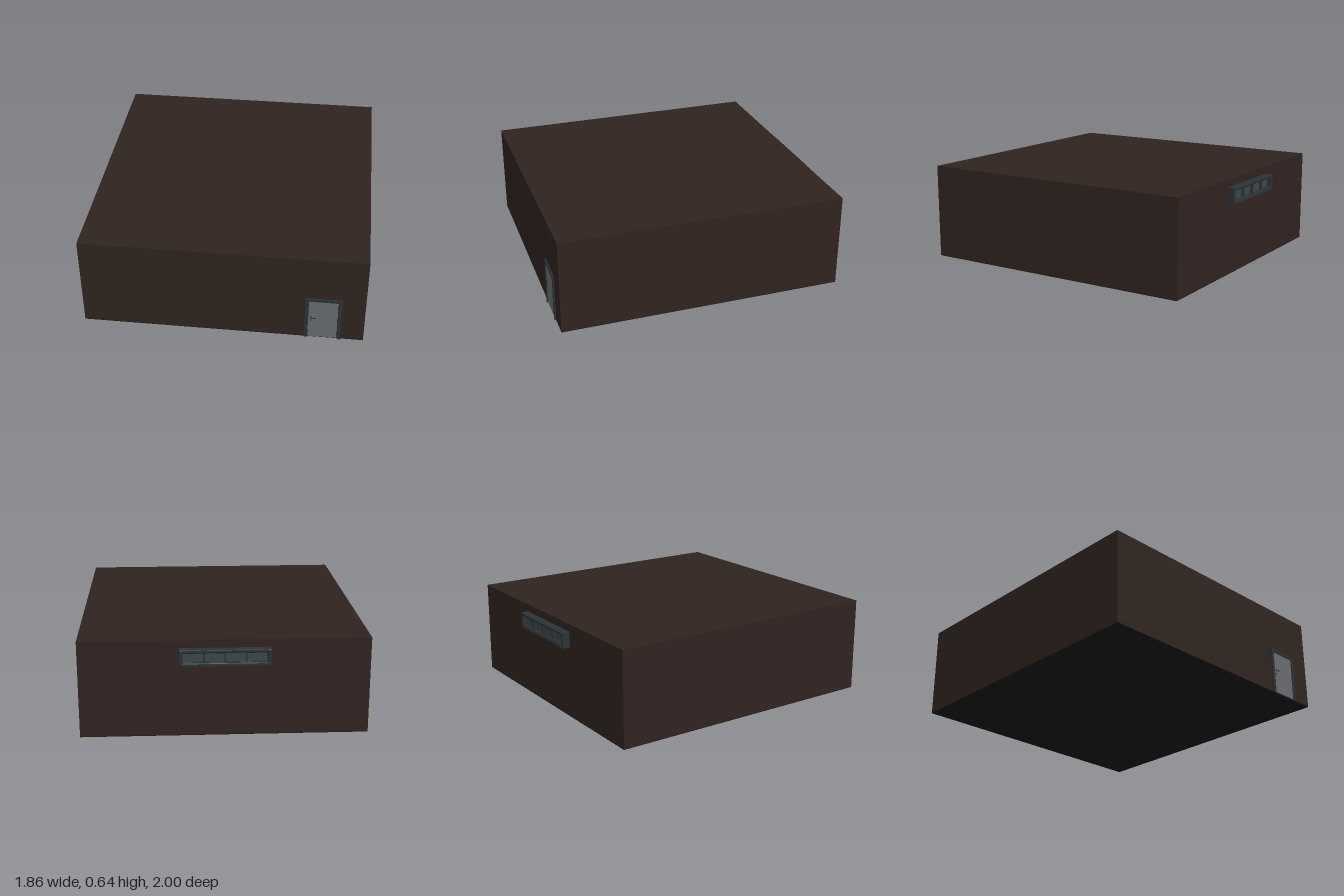
import * as THREE from 'three';

const mat = (color) => new THREE.MeshStandardMaterial({ color });

function add(parent, name, geometry, material, x = 0, y = 0, z = 0) {
  const mesh = new THREE.Mesh(geometry, material);
  mesh.name = name;
  mesh.position.set(x, y, z);
  parent.add(mesh);
  return mesh;
}

// Box given by its lower and upper corners
function block(parent, name, material, [x0, y0, z0], [x1, y1, z1]) {
  return add(parent, name, new THREE.BoxGeometry(x1 - x0, y1 - y0, z1 - z0), material,
    (x0 + x1) / 2, (y0 + y1) / 2, (z0 + z1) / 2);
}

// Rectangular ring, centred in x and y, extruded from z = 0 with a small chamfer on its outer edge
function ring(w, h, border, depth, chamfer) {
  const rect = (Type, a, b) => new Type([[-a, -b], [a, -b], [a, b], [-a, b]].map(([x, y]) => new THREE.Vector2(x, y)));
  const shape = rect(THREE.Shape, w / 2 - chamfer, h / 2 - chamfer);
  shape.holes.push(rect(THREE.Path, w / 2 - border, h / 2 - border));
  return new THREE.ExtrudeGeometry(shape, {
    depth: depth - chamfer, bevelEnabled: true, bevelThickness: chamfer, bevelSize: chamfer, bevelSegments: 1,
  });
}

export function createModel() {
  const model = new THREE.Group();
  model.name = 'building';
  const wall = mat(0x30231f);
  const floor = mat(0x181818);
  const trim = mat(0x2a3335);
  const panel = mat(0x686b70);
  const glass = mat(0x3c4648);
  const metal = mat(0x222426);

  // Main volume and its underside
  block(model, 'walls', wall, [-0.93, 0.004, -0.943], [0.93, 0.643, 0.985]);
  block(model, 'floorSlab', floor, [-0.93, 0, -0.943], [0.93, 0.004, 0.985]);

  // Door with a three-sided frame
  const door = new THREE.Group();
  door.name = 'door';
  model.add(door);
  block(door, 'doorFrameRight', trim, [0.54, 0, 0.98], [0.562, 0.33, 0.994]);
  block(door, 'doorFrameLeft', trim, [0.758, 0, 0.98], [0.78, 0.33, 0.994]);
  block(door, 'doorFrameTop', trim, [0.562, 0.308, 0.98], [0.758, 0.33, 0.994]);
  block(door, 'doorLeaf', panel, [0.564, 0.006, 0.98], [0.755, 0.306, 0.989]);
  // Lever, lock and hinges
  block(door, 'handlePlate', metal, [0.577, 0.167, 0.988], [0.587, 0.177, 0.991]);
  block(door, 'handleStem', metal, [0.58, 0.17, 0.99], [0.584, 0.174, 0.998]);
  block(door, 'handleLever', metal, [0.58, 0.17, 0.996], [0.615, 0.174, 1]);
  const lock = add(door, 'lock', new THREE.CylinderGeometry(0.004, 0.004, 0.004, 12), metal, 0.582, 0.147, 0.99);
  lock.rotation.x = Math.PI / 2;
  for (const y of [0.05, 0.16, 0.27])
    add(door, 'hinge', new THREE.CylinderGeometry(0.003, 0.003, 0.03, 8), metal, 0.756, y, 0.991);

  // Strip window on the back: outer surround, inner sash, bars and panes
  const win = new THREE.Group();
  win.name = 'backWindow';
  win.position.set(0, 0.539, -0.943);
  win.rotation.y = Math.PI;
  model.add(win);
  add(win, 'windowSurround', ring(0.58, 0.106, 0.016, 0.053, 0.004), trim);
  add(win, 'windowSash', ring(0.55, 0.076, 0.008, 0.043, 0.001), trim);
  for (const x of [-0.134, 0, 0.134])
    block(win, 'windowBar', trim, [x - 0.005, -0.032, 0], [x + 0.005, 0.032, 0.043]);
  for (let i = 0; i < 4; i++)
    block(win, 'windowPane', glass, [-0.268 + i * 0.134, -0.032, 0.02], [-0.134 + i * 0.134, 0.032, 0.026]);
  // Slim lips that stand proud of the surround
  for (const y of [-0.046, 0.046])
    block(win, 'windowLip', trim, [-0.27, y - 0.005, 0.05], [0.27, y + 0.005, 0.057]);
  return model;
}
